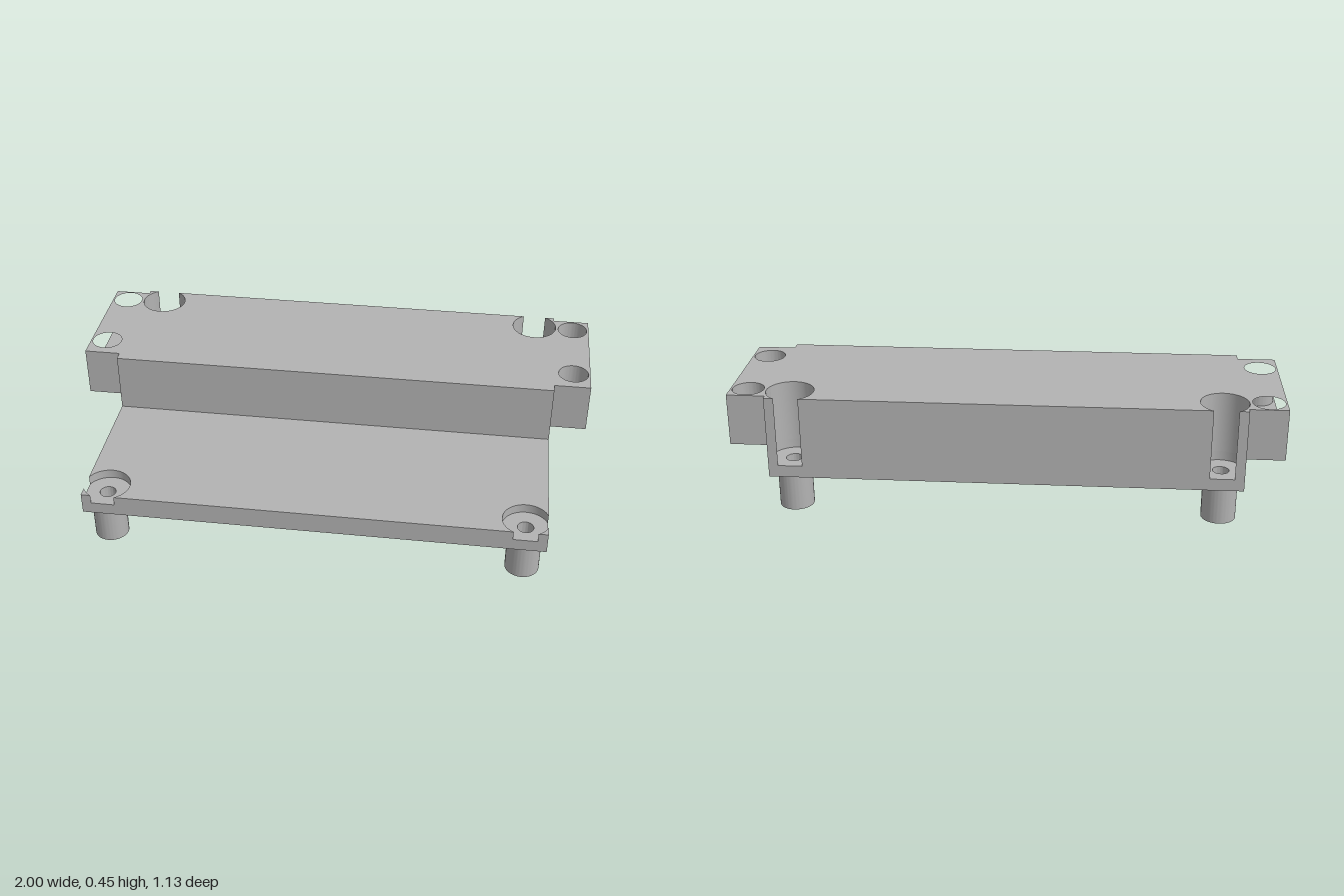
import * as THREE from 'three';
import { toCreasedNormals } from 'three/addons/utils/BufferGeometryUtils.js';

const HX = 0.86, HZ = 0.565;          // half size of the plate
const CX = 0.78, CZ = 0.49;           // corner screw centres
const BORE = 0.087, SCREW = 0.03;     // corner counterbore and screw hole radii

const P = (x, y) => new THREE.Vector2(x, y);

// Points on an arc, used for outlines
function arc(cx, cy, r, a0, a1, n = 32) {
  const pts = [];
  for (let i = 0; i <= n; i++) {
    const a = a0 + (a1 - a0) * i / n;
    pts.push(P(cx + r * Math.cos(a), cy + r * Math.sin(a)));
  }
  return pts;
}

const circle = (x, y, r) => new THREE.Path().absarc(x, y, r, 0, Math.PI * 2, true);

// Angles at which a corner bore breaks through the side and end faces
const A = Math.acos((HX - CX) / BORE);
const B = Math.asin((HZ - CZ) / BORE);

// Outline of the body with bored corners; shape y is -z
function boredOutline(yFront, frontBored) {
  const back = arc(CX, CZ, BORE, -A, Math.PI - B - Math.PI * 2);
  const mirrorX = (pts) => pts.map((p) => P(-p.x, p.y)).reverse();
  const mirrorY = (pts) => pts.map((p) => P(p.x, -p.y)).reverse();
  const right = [...(frontBored ? mirrorY(back) : [P(HX, yFront)]), ...back];
  return new THREE.Shape([...right, ...mirrorX(right)]);
}

// Sliver of material left outside a corner bore
function cornerSliver(sx, sy) {
  const pts = [...arc(CX, CZ, BORE, A, B, 8), P(HX, HZ)];
  return new THREE.Shape(pts.map((p) => P(p.x * sx, p.y * sy)));
}

export function createModel() {
  const group = new THREE.Group();
  const grey = new THREE.MeshStandardMaterial({ color: 0xb3b3b3 });
  grey.name = 'plain grey';

  // Extrudes a plan shape upward from y0 to y1
  function slab(name, shapes, y0, y1) {
    let geo = new THREE.ExtrudeGeometry(shapes, { depth: y1 - y0, bevelEnabled: false, curveSegments: 32 });
    geo.rotateX(-Math.PI / 2).translate(0, y0, 0);
    geo = toCreasedNormals(geo, Math.PI / 6);
    const mesh = new THREE.Mesh(geo, grey);
    mesh.name = name;
    group.add(mesh);
  }

  const corners = [[1, 1], [-1, 1], [1, -1], [-1, -1]];

  // Plate floor with four screw holes
  const floor = new THREE.Shape([P(-HX, -HZ), P(HX, -HZ), P(HX, HZ), P(-HX, HZ)]);
  for (const [sx, sy] of corners) floor.holes.push(circle(sx * CX, sy * CZ, SCREW));
  slab('plateFloor', floor, 0.14, 0.185);

  // Plate top with open counterbores, and the slivers at its front corners
  slab('plateTop', boredOutline(-HZ, true), 0.185, 0.22);
  slab('frontCornerSlivers', [cornerSliver(1, -1), cornerSliver(-1, -1)], 0.185, 0.22);

  // Raised rear block and its full height corner slivers
  slab('rearBlock', boredOutline(0.02, false), 0.22, 0.45);
  slab('backCornerSlivers', [cornerSliver(1, 1), cornerSliver(-1, 1)], 0.185, 0.45);

  // Side wings with counterbored holes
  for (const s of [1, -1]) {
    const wing = (holeRadius) => {
      const pts = [P(HX, 0.057), P(1, 0.057), P(1, 0.545), P(HX, 0.545), ...arc(CX, CZ, BORE, A, -A, 10)];
      const shape = new THREE.Shape(pts.map((p) => P(p.x * s, p.y)));
      for (const y of [0.15, 0.48]) shape.holes.push(circle(s * 0.935, y, holeRadius));
      return shape;
    };
    const side = s > 0 ? 'left' : 'right';
    slab(side + 'WingFloor', wing(0.033), 0.257, 0.32);
    slab(side + 'WingTop', wing(0.058), 0.32, 0.45);
  }

  // Hollow round feet
  for (const [sx, sy] of corners) {
    const foot = new THREE.Shape().absarc(sx * CX, sy * CZ, 0.063, 0, Math.PI * 2, false);
    foot.holes.push(circle(sx * CX, sy * CZ, SCREW));
    slab((sy > 0 ? 'back' : 'front') + (sx > 0 ? 'Left' : 'Right') + 'Foot', foot, 0, 0.14);
  }

  return group;
}
